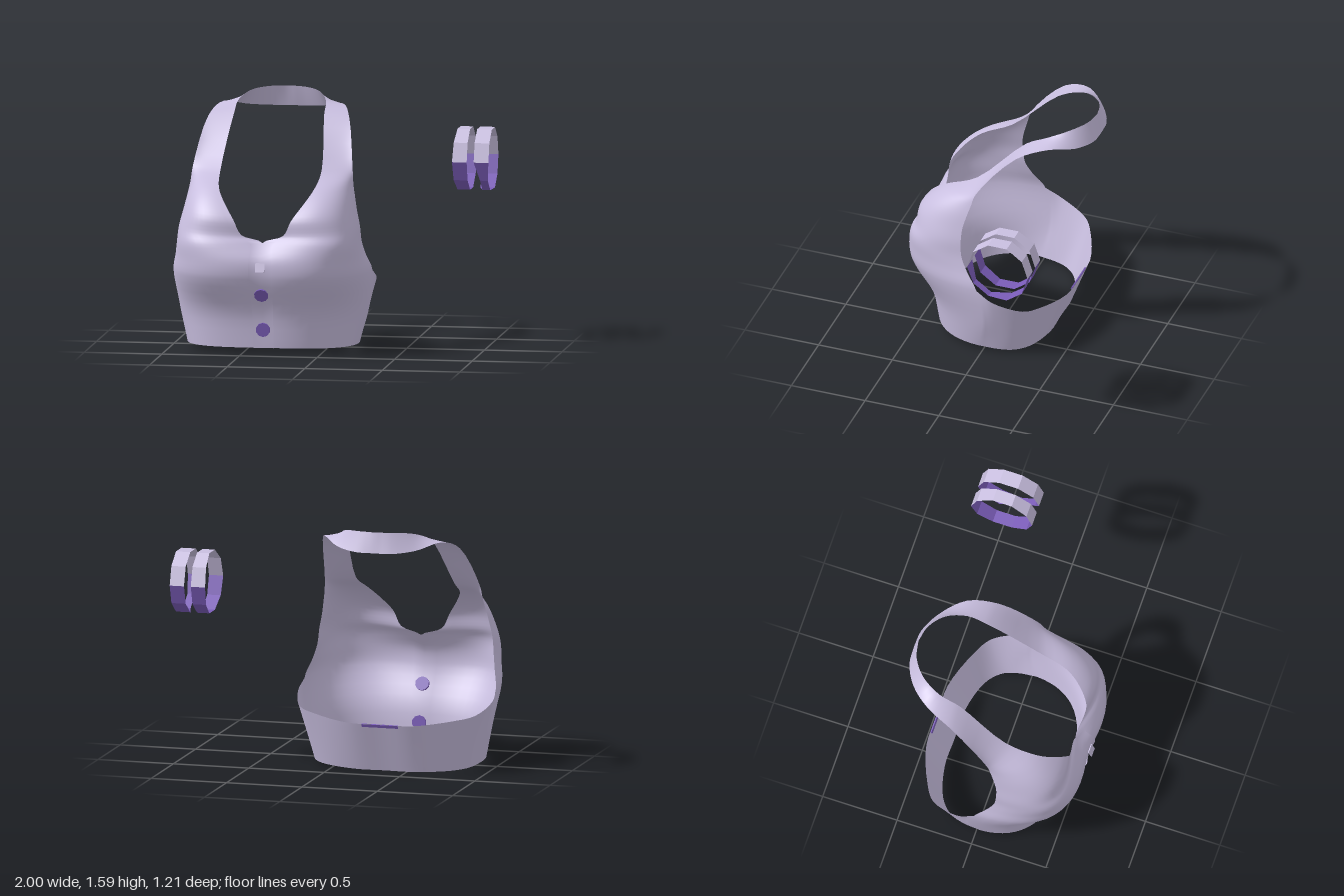
import * as THREE from 'three';
import { mergeVertices } from 'three/addons/utils/BufferGeometryUtils.js';

const lilac = new THREE.MeshStandardMaterial({ color: 0xc9bfe0, side: THREE.DoubleSide });
lilac.name = 'lilac cloth';
const purple = new THREE.MeshStandardMaterial({ color: 0x7a5cb8, side: THREE.DoubleSide });
purple.name = 'purple trim';

const V = (x, y, z) => new THREE.Vector3(x, y, z);
const curve = (pts, n) => new THREE.CatmullRomCurve3(pts).getPoints((pts.length - 1) * n);
const STEP = 4, COLS = 16;

// Inner edge: up the centre front, round the neckline, along the strap to the nape
const NECKLINE = [
  [0, .045, .43], [0, .28, .46], [0, .50, .555], [0, .62, .555], [0, .725, .48],
  [.135, .775, .49], [.185, .87, .49], [.255, .97, .42], [.305, 1.05, .32], [.325, 1.15, .12],
  [.29, 1.46, -.20], [.28, 1.53, -.34], [.215, 1.575, -.47], [.11, 1.588, -.55], [0, 1.59, -.575],
];
// Outer edge: up the side, round the armhole, along the strap to the nape
const ARMHOLE = [
  [.55, .03, .03], [.61, .26, -.02], [.635, .50, .01], [.605, .61, .085], [.585, .70, .13],
  [.575, .80, .14], [.555, .90, .135], [.54, .98, .115], [.525, 1.06, .09], [.515, 1.15, .06],
  [.455, 1.44, -.19], [.385, 1.51, -.38], [.26, 1.475, -.52], [.12, 1.46, -.595], [0, 1.46, -.605],
];
// Bulge of the cloth between the edges, as a control point [x, z]; the strap above is straight
const BULGE = [
  [.53, .44], [.555, .52], [.62, .70], [.62, .71], [.62, .73],
  [.60, .62], [.55, .57], [.51, .47], [.465, .33],
];
// Lower and upper edges of the back band, from underarm to centre back
const BAND_LOW = [[.535, .022, -.10], [.50, .015, -.19], [.41, .008, -.27], [.20, 0, -.33], [0, 0, -.33]];
const BAND_TOP = [[.645, .44, -.10], [.58, .375, -.28], [.46, .35, -.36], [.21, .32, -.45], [0, .32, -.45]];

// Front grid: rows run up the body, columns run from neckline to armhole
function frontGrid() {
  const rows = NECKLINE.map((n, i) => {
    const a = V(...n), b = V(...ARMHOLE[i]);
    const mid = a.clone().lerp(b, .5);
    if (BULGE[i]) mid.set(BULGE[i][0], mid.y, BULGE[i][1]);
    return new THREE.QuadraticBezierCurve3(a, mid, b).getPoints(COLS);
  });
  const cols = rows[0].map((_, j) => curve(rows.map(r => r[j]), STEP));
  return cols[0].map((_, i) => cols.map(c => V(Math.max(0, c[i].x), c[i].y, c[i].z)));
}

// Back band grid, starting on the side column of the front grid
function bandGrid(front) {
  const start = front.slice(0, 2 * STEP + 1).map(r => r[COLS]);
  const y0 = start[0].y, y1 = start[start.length - 1].y;
  return start.map(p => {
    const f = (p.y - y0) / (y1 - y0);
    return curve([p, ...BAND_LOW.map((b, k) => V(...b).lerp(V(...BAND_TOP[k]), f))], STEP);
  });
}

// Joins grids and their mirror images into one smooth surface
function mirroredSurface(grids) {
  const pos = [], idx = [];
  for (const grid of grids) for (const side of [1, -1]) {
    const base = pos.length / 3, w = grid[0].length;
    grid.forEach(r => r.forEach(p => pos.push(p.x * side, p.y, p.z)));
    for (let i = 0; i < grid.length - 1; i++) for (let j = 0; j < w - 1; j++) {
      const a = base + i * w + j, b = a + 1, c = b + w, d = a + w;
      if (side > 0) idx.push(a, b, c, a, c, d);
      else idx.push(a, c, b, a, d, c);
    }
  }
  const g = new THREE.BufferGeometry();
  g.setAttribute('position', new THREE.Float32BufferAttribute(pos, 3));
  g.setIndex(idx);
  const merged = mergeVertices(g, 1e-4);
  merged.computeVertexNormals();
  return merged;
}

function add(parent, name, geometry, material) {
  const m = new THREE.Mesh(geometry, material);
  m.name = name;
  parent.add(m);
  return m;
}

// Faceted arc of a ten-sided wristband; edges(angle) gives its x limits
function bandArc(from, to, edges) {
  const pos = [];
  const at = (i, s) => {
    const a = i * Math.PI / 5;
    return [edges(a)[s], 1.175 + .205 * Math.sin(a), -.395 + .205 * Math.cos(a)];
  };
  for (let i = from; i < to; i++) {
    const a = at(i, 0), b = at(i, 1), c = at(i + 1, 1), d = at(i + 1, 0);
    pos.push(...a, ...b, ...c, ...a, ...c, ...d);
  }
  const g = new THREE.BufferGeometry();
  g.setAttribute('position', new THREE.Float32BufferAttribute(pos, 3));
  g.computeVertexNormals();
  return g;
}

export function createModel() {
  const model = new THREE.Group();
  model.name = 'halterTopSet';
  const top = new THREE.Group();
  top.name = 'halterTop';
  top.position.x = -.355;
  model.add(top);

  // Cups, halter strap and back band
  const front = frontGrid();
  add(top, 'halterBody', mirroredSurface([front, bandGrid(front)]), lilac);

  // Button placket lying just over the centre front
  const centreRows = front.slice(0, 4 * STEP + 1);
  const placket = centreRows.map(r => [0, 1].map(j => r[j].clone().add(V(0, 0, .008))));
  add(top, 'placket', mirroredSurface([placket]), lilac);

  // Buttons, showing on both faces of the cloth
  for (const y of [.165, .40]) {
    const k = centreRows.findIndex(r => r[0].y > y);
    const a = centreRows[k - 1][0], b = centreRows[k][0];
    const z = a.z + (b.z - a.z) * (y - a.y) / (b.y - a.y);
    const button = add(top, 'button', new THREE.CylinderGeometry(.046, .046, .034, 10), purple);
    button.position.set(0, y, z + .005);
    button.rotation.x = Math.PI / 2 + Math.atan2(b.z - a.z, b.y - a.y);
  }

  // Small plain tab at the top of the placket
  const tab = add(top, 'frontTab', new THREE.BoxGeometry(.06, .06, .006), lilac);
  tab.position.set(0, .58, .587);
  tab.rotation.x = -.35;

  // Narrow trim on the upper back edge
  const trim = add(top, 'backTrim', new THREE.BoxGeometry(.24, .02, .009), purple);
  trim.position.set(0, .309, -.447);
  trim.rotation.x = -.36;

  // Two wristbands, lilac above and purple below
  const shapes = [
    a => [.76 + .015 * Math.sin(a) ** 2, .855],
    a => (Math.sin(a) < -.3 && Math.cos(a) > 0 ? [.935, .985] : [.9, .995]),
  ];
  shapes.forEach((edges, i) => {
    const band = new THREE.Group();
    band.name = i ? 'outerWristband' : 'innerWristband';
    add(band, 'upperArc', bandArc(0, 5, edges), lilac);
    add(band, 'lowerArc', bandArc(5, 10, edges), purple);
    model.add(band);
  });
  return model;
}
